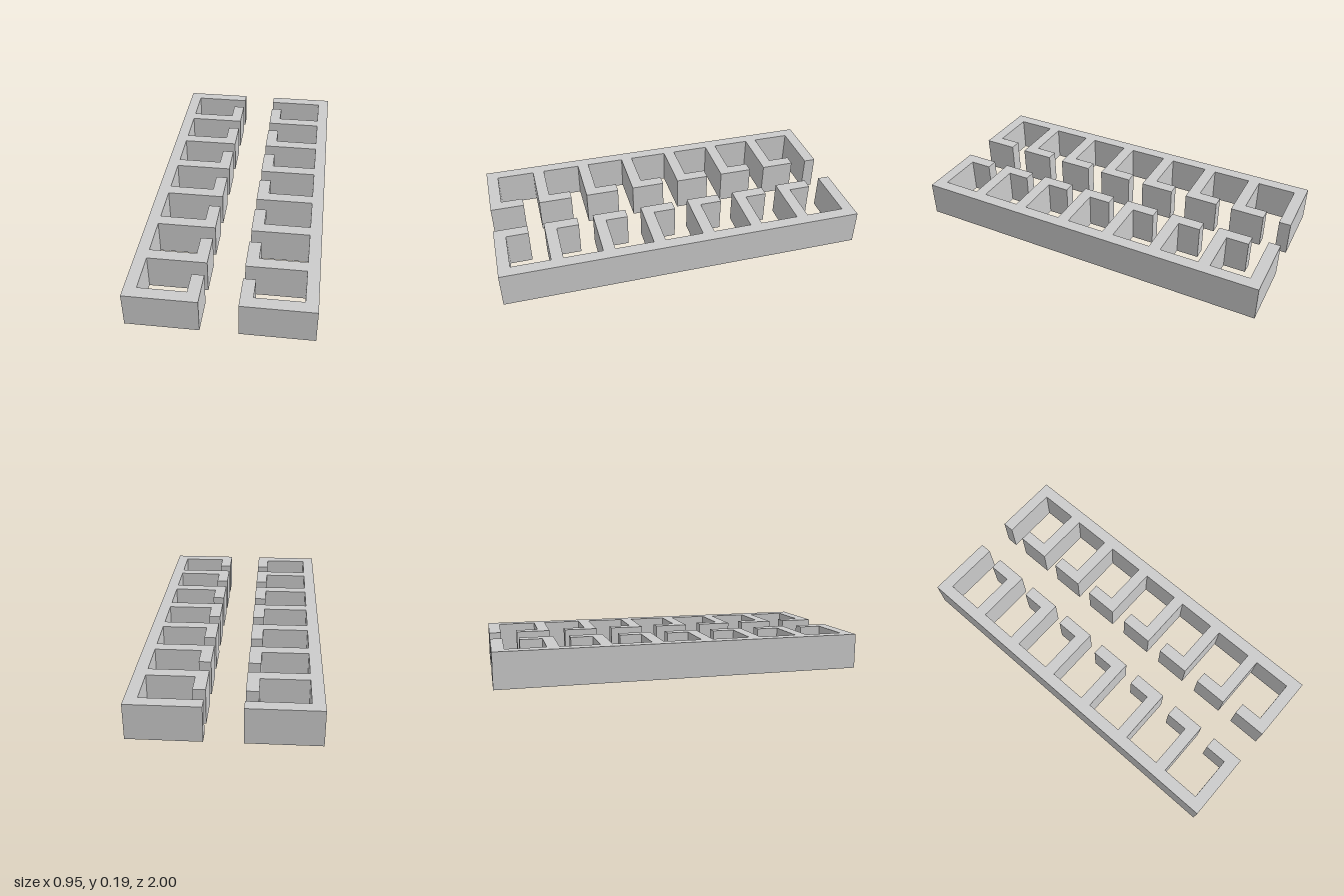
import * as THREE from 'three';

const WALL = 0.0645;      // wall thickness
const HEIGHT = 0.1935;
const OUTER = 0.475;      // outer face of the long wall
const INNER = 0.097;      // aisle face of the lips
const LIP = 0.187;        // lip length, divider included
const BAYS = 7;
const PITCH = (2 - WALL) / BAYS;

// Comb-shaped plan of one row of bays, traced from back (z = -1) to front
function rowOutline(side) {
  const pts = [[OUTER, 1], [OUTER, -1], [INNER, -1], [INNER, -1 + WALL], [OUTER - WALL, -1 + WALL]];
  for (let i = 1; i <= BAYS; i++) {
    const front = -1 + WALL + i * PITCH;
    const back = front - WALL;
    pts.push(
      [OUTER - WALL, back],
      [INNER + WALL, back],
      [INNER + WALL, front - LIP],
      [INNER, front - LIP],
      [INNER, front],
    );
    if (i < BAYS) pts.push([OUTER - WALL, front]);
  }
  return new THREE.Shape(pts.map(([x, z]) => new THREE.Vector2(side * x, -z)));
}

export function createModel() {
  const model = new THREE.Group();
  model.name = 'stallRows';
  const material = new THREE.MeshStandardMaterial({ color: 0xcccccc, flatShading: true });

  // Two mirrored rows facing each other across the aisle
  for (const [name, side] of [['leftRow', 1], ['rightRow', -1]]) {
    const geometry = new THREE.ExtrudeGeometry(rowOutline(side), { depth: HEIGHT, bevelEnabled: false });
    geometry.rotateX(-Math.PI / 2);
    const row = new THREE.Mesh(geometry, material);
    row.name = name;
    model.add(row);
  }
  return model;
}
